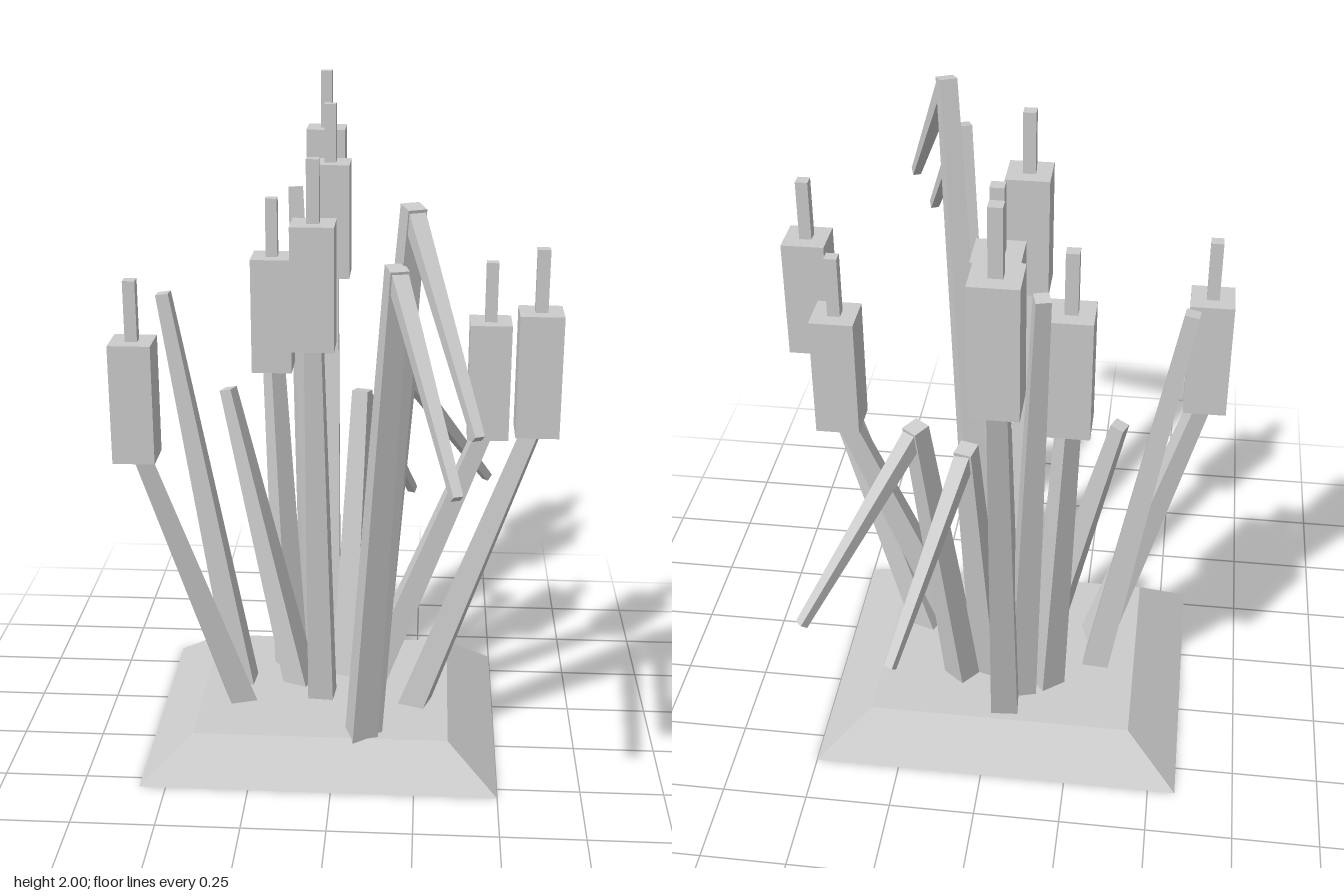
import * as THREE from 'three';

const reedGrey = new THREE.MeshStandardMaterial({ color: 0xcccccc, flatShading: true });
reedGrey.name = 'reedGrey';

function add(group, geometry, name) {
  const mesh = new THREE.Mesh(geometry, reedGrey);
  mesh.name = name;
  group.add(mesh);
  return mesh;
}

// Square tapered bar from a to b, rolled so one side faces the way it leans
function bar(group, a, b, wa, wb, name) {
  const from = new THREE.Vector3(...a), to = new THREE.Vector3(...b);
  const dir = to.clone().sub(from);
  const geo = new THREE.CylinderGeometry(wb * Math.SQRT1_2, wa * Math.SQRT1_2, dir.length(), 4);
  geo.rotateY(Math.PI / 4);
  dir.normalize();
  const side = new THREE.Vector3(dir.z, 0, -dir.x).normalize();
  const face = side.clone().cross(dir);
  const mesh = add(group, geo, name);
  mesh.quaternion.setFromRotationMatrix(new THREE.Matrix4().makeBasis(side, dir, face));
  mesh.position.copy(from).lerp(to, 0.5);
}

function box(group, w, h, x, y, z, name) {
  add(group, new THREE.BoxGeometry(w, h, w), name).position.set(x, y, z);
}

// Sloped ground block
function buildBase(group) {
  const geo = new THREE.BoxGeometry(1, 0.12, 1);
  const p = geo.attributes.position;
  for (let i = 0; i < p.count; i++) {
    const top = p.getY(i) > 0;
    p.setX(i, p.getX(i) * (top ? 0.78 : 1.08));
    p.setZ(i, p.getZ(i) * (top ? 0.66 : 0.9));
  }
  geo.computeVertexNormals();
  add(group, geo, 'base').position.set(-0.04, 0.06, -0.15);
}

export function createModel() {
  const model = new THREE.Group();
  model.name = 'reedClump';
  buildBase(model);

  // Cattails: root x, root z, head x, head z, head underside y
  const cattails = [
    [-0.30, -0.06, -0.59, 0.04, 0.97],
    [-0.165, -0.29, -0.22, -0.36, 1.13],
    [-0.05, -0.095, -0.062, 0.055, 1.325],
    [-0.045, -0.33, -0.05, -0.535, 1.39],
    [-0.05, -0.41, -0.077, -0.773, 1.46],
    [0.09, -0.165, 0.452, -0.197, 0.98],
    [0.24, -0.065, 0.583, 0.053, 1.08],
  ];
  for (const [rx, rz, x, z, y] of cattails) {
    const cattail = new THREE.Group();
    cattail.name = 'cattail';
    bar(cattail, [rx, 0.1, rz], [x, y + 0.04, z], 0.08, 0.05, 'stem');
    box(cattail, 0.125, 0.36, x, y + 0.18, z, 'head');
    box(cattail, 0.036, 0.18, x, y + 0.45, z, 'spike');
    model.add(cattail);
  }

  // Straight leaves: root and tip
  const straight = [
    [[-0.31, 0.1, -0.177], [-0.535, 1.41, -0.195]],
    [[-0.125, 0.1, -0.18], [-0.355, 1.085, -0.275]],
    [[-0.09, 0.1, -0.33], [-0.165, 1.66, -0.59]],
  ];
  for (const [root, tip] of straight) bar(model, root, tip, 0.08, 0.04, 'leaf');

  // Folded leaves: root, fold and drooping tip
  const folded = [
    [[0.095, 0.1, 0.115], [0.222, 1.805, 0.395], [0.392, 1.315, 0.775]],
    [[0.085, 0.1, 0.14], [0.182, 1.65, 0.42], [0.343, 1.175, 0.82]],
    [[0.02, 0.1, -0.25], [0.06, 1.05, -0.39], [0.222, 0.565, -0.765]],
    [[0.095, 0.1, -0.285], [0.195, 1.125, -0.41], [0.478, 0.64, -0.705]],
  ];
  for (const [root, fold, tip] of folded) {
    const leaf = new THREE.Group();
    leaf.name = 'foldedLeaf';
    bar(leaf, root, fold, 0.08, 0.052, 'leafLower');
    bar(leaf, [fold[0], fold[1] - 0.02, fold[2]], tip, 0.046, 0.026, 'leafUpper');
    model.add(leaf);
  }

  // Centre the clump
  const content = new THREE.Group();
  content.add(model);
  content.name = 'reeds';
  return content;
}
